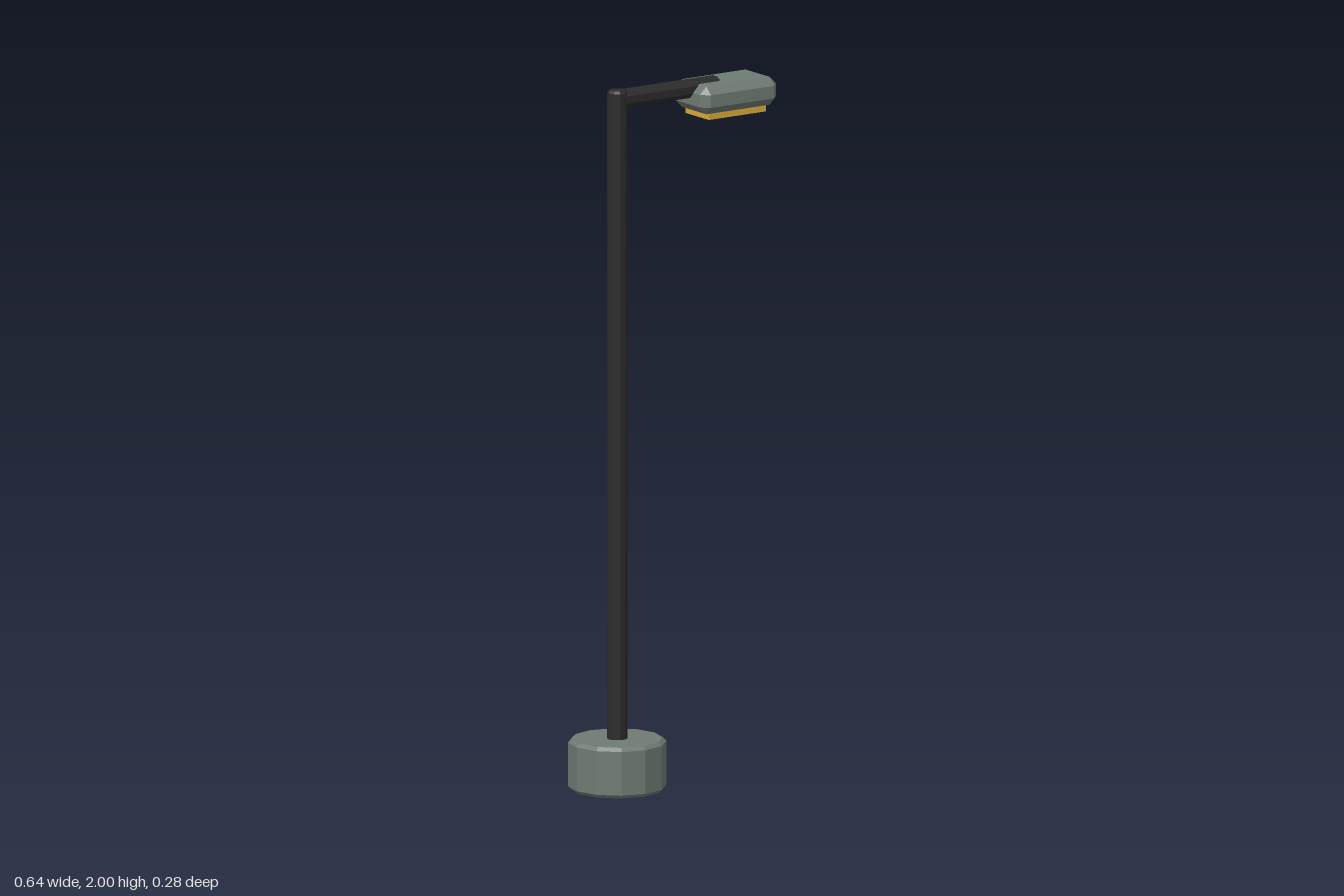
import * as THREE from 'three';
import { ConvexGeometry } from 'three/addons/geometries/ConvexGeometry.js';

const mat = (name, color) => {
  const m = new THREE.MeshStandardMaterial({ color, flatShading: true });
  m.name = name;
  return m;
};

// Faceted cylinder with chamfered ends, standing from y = 0 to y = height
function chamferedCylinder(radius, height, sides, bevel) {
  const profile = [
    [0, 0], [radius - bevel, 0], [radius, bevel],
    [radius, height - bevel], [radius - bevel, height], [0, height],
  ].map(([x, y]) => new THREE.Vector2(x, y));
  return new THREE.LatheGeometry(profile, sides);
}

// Box with every edge chamfered and triangular corners
function chamferedBox(w, h, d, b) {
  const points = [];
  for (const x of [-1, 1]) for (const y of [-1, 1]) for (const z of [-1, 1]) {
    const [px, py, pz] = [x * w / 2, y * h / 2, z * d / 2];
    points.push(
      new THREE.Vector3(px, py - y * b, pz - z * b),
      new THREE.Vector3(px - x * b, py, pz - z * b),
      new THREE.Vector3(px - x * b, py - y * b, pz),
    );
  }
  return new ConvexGeometry(points);
}

export function createModel() {
  const group = new THREE.Group();
  group.name = 'streetLamp';
  const grey = mat('grey green', 0x6f7a72);
  const black = mat('black metal', 0x2b2b2c);
  const amber = mat('amber lens', 0xd9aa38);

  const add = (name, geometry, material, x, y, z = 0) => {
    const mesh = new THREE.Mesh(geometry, material);
    mesh.name = name;
    mesh.position.set(x, y, z);
    group.add(mesh);
    return mesh;
  };
  const poleX = -0.182;

  // Footing and upright
  add('base', chamferedCylinder(0.138, 0.145, 12, 0.01), grey, poleX, 0);
  const pole = add('pole', chamferedCylinder(0.029, 1.87, 10, 0.007), black, poleX, 0.13);
  pole.rotation.y = Math.PI / 2;

  // Octagonal arm with a flat side on top, running towards +x
  const armGeometry = chamferedCylinder(0.0272, 0.345, 8, 0.011);
  armGeometry.rotateY(Math.PI / 8).rotateZ(-Math.PI / 2);
  add('arm', armGeometry, black, poleX, 1.973);

  // Lamp head and the lens under it
  add('lampHead', chamferedBox(0.26, 0.08, 0.161, 0.022), grey, 0.19, 1.947);
  add('lens', new THREE.BoxGeometry(0.196, 0.022, 0.112), amber, 0.19, 1.9);

  return group;
}
